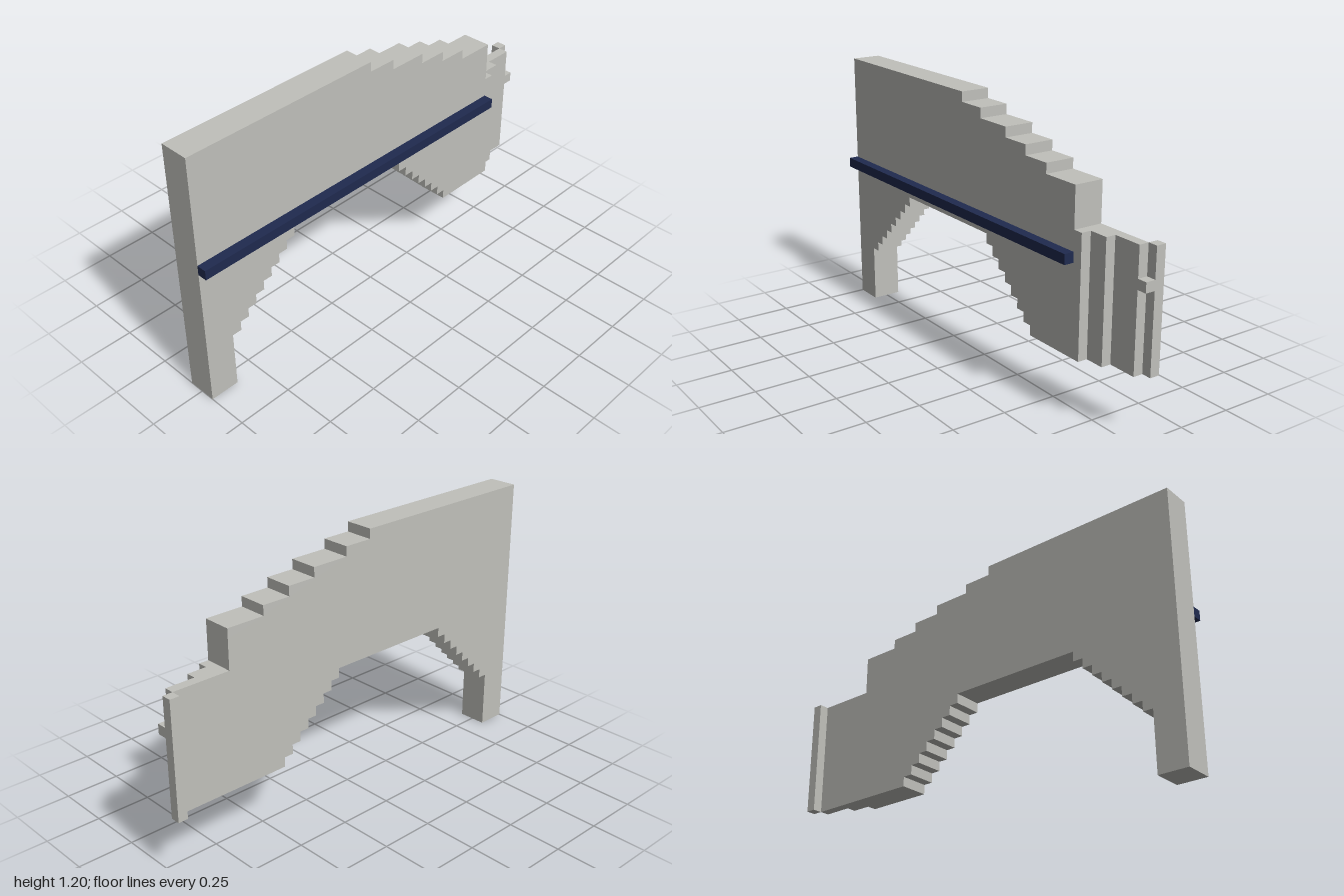
import * as THREE from 'three';

// One grid unit; the wall is 45 units long, 27 high and 5 deep overall
const U = 2 / 45;

export function createModel() {
  const model = new THREE.Group();
  const grey = new THREE.MeshStandardMaterial({ color: 0xc0c0bb });
  grey.name = 'lightGrey';
  const navy = new THREE.MeshStandardMaterial({ color: 0x1f2a4f });
  navy.name = 'navyBlue';

  // Box from grid limits: x from the right end, y from the ground, z from the centre
  function box(name, material, [x0, x1], [y0, y1], [z0, z1]) {
    const geometry = new THREE.BoxGeometry((x1 - x0) * U, (y1 - y0) * U, (z1 - z0) * U);
    const mesh = new THREE.Mesh(geometry, material);
    mesh.name = name;
    mesh.position.set(((x0 + x1) / 2) * U - 1, ((y0 + y1) / 2) * U, ((z0 + z1) / 2) * U);
    model.add(mesh);
  }

  // Main panel outline: leg, stepped arch, then the stepped slope along the top
  const outline = [[0, 0], [3, 0], [3, 6]];
  for (let i = 0; i < 8; i++) outline.push([4 + i, 6 + i], [4 + i, 7 + i]);
  for (let i = 0; i < 8; i++) outline.push([25 + i, 14 - i], [25 + i, 13 - i]);
  outline.push([38, 6]);
  [38, 34, 31, 28, 24, 21, 18].forEach((x, i) => outline.push([x, 21 + i], [x, 22 + i]));
  outline.pop();
  outline.push([0, 27]);
  const shape = new THREE.Shape(outline.map(([x, y]) => new THREE.Vector2(x * U - 1, y * U)));
  const panel = new THREE.Mesh(
    new THREE.ExtrudeGeometry(shape, { depth: 3 * U, bevelEnabled: false }), grey);
  panel.name = 'archPanel';
  panel.position.z = -1.5 * U;
  model.add(panel);

  // End section, thinning towards its edge
  const plan = [[38, -1.5], [44, -1.5], [44, -0.5], [41, -0.5], [41, 0.5], [39, 0.5], [39, 1.5], [38, 1.5]];
  const endShape = new THREE.Shape(plan.map(([x, z]) => new THREE.Vector2(x * U - 1, -z * U)));
  const end = new THREE.Mesh(
    new THREE.ExtrudeGeometry(endShape, { depth: 12 * U, bevelEnabled: false }), grey);
  end.name = 'steppedEnd';
  end.rotation.x = -Math.PI / 2;
  end.position.y = 6 * U;
  model.add(end);

  // Edge post behind the end, joined by a small tongue
  box('edgePost', grey, [44, 45], [6, 18], [-2.5, -1.5]);
  box('tongue', grey, [44, 45], [14, 15], [-1.5, -0.5]);

  // Trim strip across the front
  box('trimStrip', navy, [0, 38], [15, 16], [1.5, 2.5]);

  return model;
}
